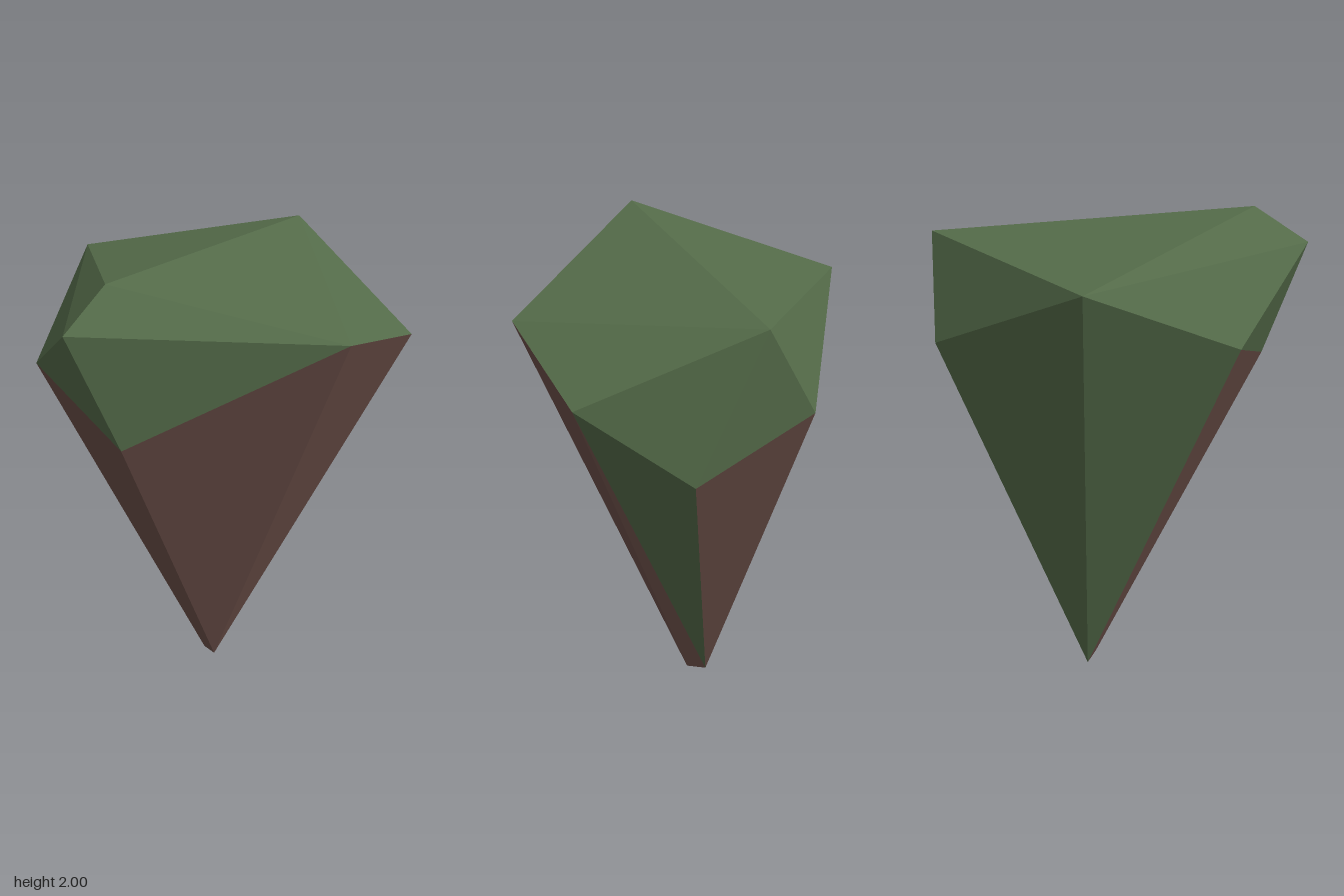
import * as THREE from 'three';

const green = new THREE.MeshStandardMaterial({ name: 'mossGreen', color: 0x546b49 });
const brown = new THREE.MeshStandardMaterial({ name: 'earthBrown', color: 0x6a4e47 });

// Corners of the faceted rock
const P = {
  // upper ridge
  peak: [-0.42, 2.0, 0.48], brow: [-0.56, 1.87, 0.635], backPeak: [0.3, 1.885, -0.535],
  backRight: [-0.57, 1.815, -0.38], frontLeft: [0.45, 1.765, 0.48],
  // shoulder
  side: [0.725, 1.605, 0.03], right: [-0.725, 1.56, 0.205], front: [-0.38, 1.385, 0.58],
  back: [0.1, 1.5, -0.635], low: [0.5, 1.29, -0.35],
  // narrow foot
  toe: [-0.055, 0.015, 0], heel: [-0.1, 0, -0.07],
};

// Flat-shaded mesh of triangles, each turned to face away from the middle
function facets(name, material, faces) {
  const middle = new THREE.Vector3(0, 1.3, 0);
  const points = [];
  for (const face of faces) {
    const [a, b, c] = face.split(' ').map((key) => new THREE.Vector3(...P[key]));
    const normal = b.clone().sub(a).cross(c.clone().sub(a));
    const outward = normal.dot(a.clone().sub(middle)) > 0;
    points.push(a, ...(outward ? [b, c] : [c, b]));
  }
  const geometry = new THREE.BufferGeometry().setFromPoints(points);
  geometry.computeVertexNormals();
  const mesh = new THREE.Mesh(geometry, material);
  mesh.name = name;
  return mesh;
}

export function createModel() {
  const group = new THREE.Group();
  group.name = 'facetedRock';
  group.add(
    // Mossy cap around the top
    facets('mossyCap', green, [
      'peak backRight backPeak', 'peak backPeak frontLeft', 'peak frontLeft brow',
      'peak brow backRight', 'brow right backRight', 'brow right front',
      'brow front frontLeft', 'frontLeft side backPeak', 'backPeak side low',
      'backPeak low back', 'backPeak back backRight',
    ]),
    // Mossy flanks running down to the foot
    facets('mossyFlanks', green, [
      'right backRight heel', 'backRight back heel', 'side low heel',
    ]),
    // Bare tapering flanks
    facets('bareFlanks', brown, [
      'right front heel', 'front toe heel', 'front frontLeft toe',
      'frontLeft side toe', 'side toe heel', 'low back heel',
    ]),
  );
  return group;
}
